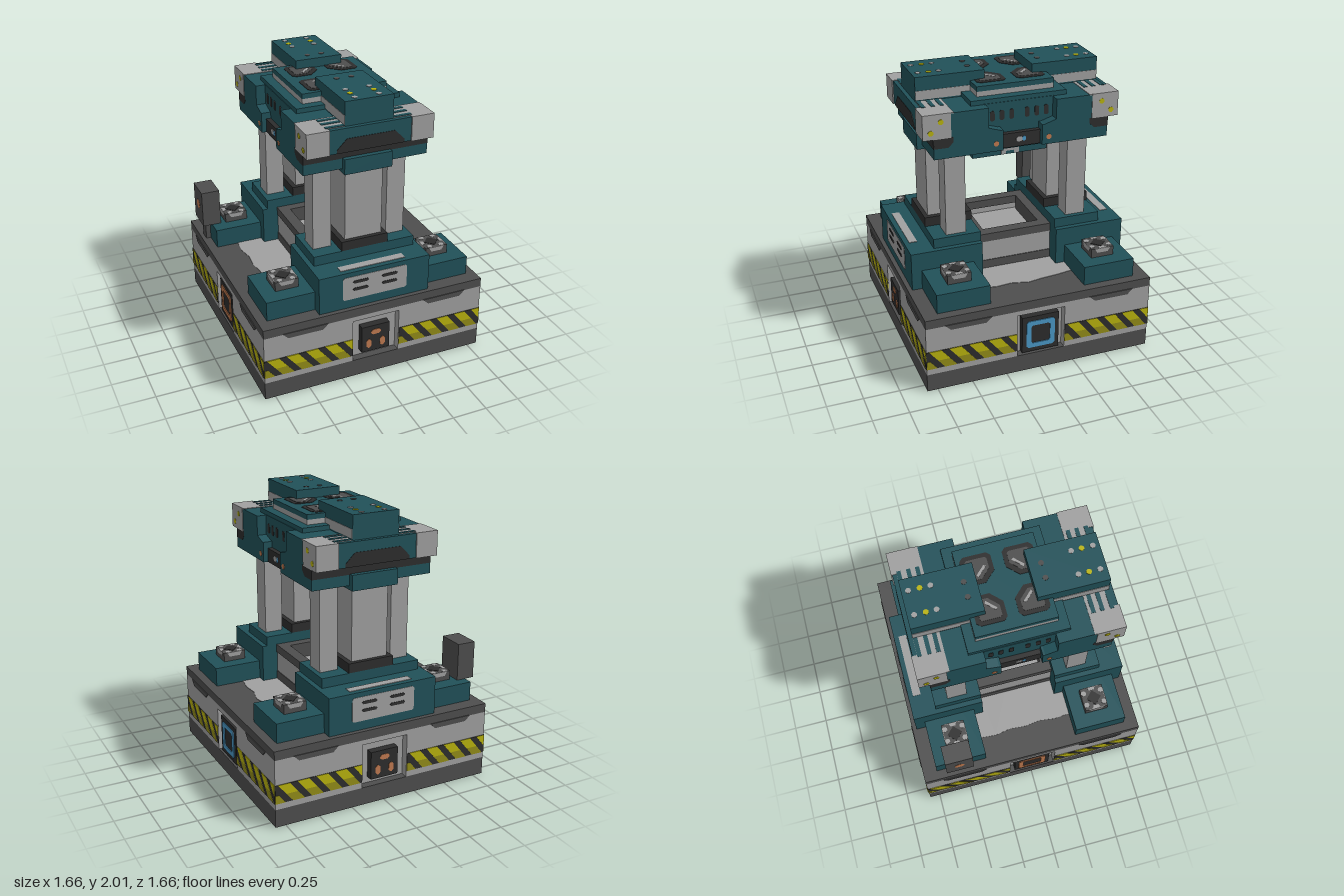
import * as THREE from 'three';

const mat = (name, color) => Object.assign(new THREE.MeshStandardMaterial({ color }), { name });
const teal = mat('teal paint', 0x215159), dark = mat('black rubber', 0x2d2d2d), grey = mat('dark grey', 0x4e4e4e),
  light = mat('light grey', 0xa0a0a0), yellow = mat('yellow', 0xb9b30e), olive = mat('olive yellow', 0x928c18),
  orange = mat('orange', 0xc07a50), blue = mat('blue', 0x4a98c6);

// Box from its limits on each axis
function box(parent, name, m, x0, x1, y0, y1, z0, z1) {
  const g = new THREE.BoxGeometry(Math.abs(x1 - x0), Math.abs(y1 - y0), Math.abs(z1 - z0));
  const mesh = new THREE.Mesh(g, m);
  mesh.position.set((x0 + x1) / 2, (y0 + y1) / 2, (z0 + z1) / 2);
  mesh.name = name;
  parent.add(mesh);
}

// Thin plate facing local +z, with optional hole outline
function plate(parent, name, m, pts, z, hole, depth = 0.006) {
  const s = new THREE.Shape(pts.map(p => new THREE.Vector2(...p)));
  if (hole) s.holes.push(new THREE.Path(hole.map(p => new THREE.Vector2(...p))));
  const mesh = new THREE.Mesh(new THREE.ExtrudeGeometry(s, { depth, bevelEnabled: false }), m);
  mesh.position.z = z;
  mesh.name = name;
  parent.add(mesh);
}
// Rectangle with corners cut by c
const rect = (x0, x1, y0, y1, c = 0) => c
  ? [[x0 + c, y0], [x1 - c, y0], [x1, y0 + c], [x1, y1 - c], [x1 - c, y1], [x0 + c, y1], [x0, y1 - c], [x0, y0 + c]]
  : [[x0, y0], [x1, y0], [x1, y1], [x0, y1]];
const dot = (p, name, m, x, y, z, r = 0.018) => plate(p, name, m, rect(x - r, x + r, y - r, y + r, r * 0.6), z);

function sub(parent, name, rx = 0, ry = 0) {
  const g = new THREE.Group();
  g.name = name;
  g.rotation.set(rx, ry, 0);
  parent.add(g);
  return g;
}
const SIGNS = [-1, 1];

function hazardStripes(p, a, b, z) {
  plate(p, 'hazardBacking', dark, rect(a, b, 0.175, 0.31), z, null, 0.004);
  const clamp = x => Math.min(b, Math.max(a, x));
  const bands = [[0.235, 0.31, yellow], [0.175, 0.235, olive]];
  for (let x = a - 0.12; x < b; x += 0.14) for (const [y0, y1, m] of bands) {
    const at = y => x + (0.31 - y) * 0.8;
    const l0 = clamp(at(y0)), r0 = clamp(at(y0) + 0.085), l1 = clamp(at(y1)), r1 = clamp(at(y1) + 0.085);
    if (r0 - l0 > 0.005 && r1 - l1 > 0.005) plate(p, 'hazardStripe', m, [[l0, y0], [r0, y0], [r1, y1], [l1, y1]], z);
  }
}

function buildBase(root) {
  const base = sub(root, 'base'), W = 0.825;
  box(base, 'baseSkirt', grey, -W, W, 0, 0.13, -W, W);
  box(base, 'baseCore', light, -0.77, 0.77, 0.13, 0.49, -0.77, 0.77);
  box(base, 'baseDeck', grey, -W, W, 0.49, 0.555, -W, W);
  for (const sx of SIGNS) for (const sz of SIGNS)
    box(base, 'cornerBlock', light, sx * 0.175, sx * W, 0.13, 0.49, sz * 0.175, sz * W);
  plate(sub(base, 'underside', Math.PI / 2), 'bottomPanel', light, rect(-0.51, 0.51, -0.51, 0.51, 0.03), -0.002, null, 0.004);
  // Four walls: front, left, back, right
  for (let k = 0; k < 4; k++) {
    const w = sub(base, 'wall', 0, k * Math.PI / 2);
    box(w, 'pocketLintel', light, -0.175, 0.175, 0.455, 0.49, 0.77, W);
    for (const s of SIGNS) {
      const q = [[0.69, 0.495], [0.36, 0.495], [0.4, 0.457], [0.65, 0.457]].map(([x, y]) => [s * x, y]);
      plate(w, 'deckNotch', grey, q, W);
    }
    hazardStripes(w, -W, -0.177, W);
    hazardStripes(w, 0.177, W, W);
    if (k % 2 === 0) {
      box(w, 'connector', dark, -0.105, 0.105, 0.175, 0.38, 0.77, 0.822);
      plate(w, 'connectorPort', orange, rect(-0.037, 0.037, 0.31, 0.348, 0.014), 0.82);
      for (const s of SIGNS)
        plate(w, 'connectorPort', orange, rect(s * 0.052 - 0.019, s * 0.052 + 0.019, 0.205, 0.275, 0.014), 0.82);
    } else {
      box(w, 'lampPanel', dark, -0.135, 0.135, 0.14, 0.42, 0.77, 0.815);
      plate(w, 'lampRing', k === 1 ? blue : orange, rect(-0.105, 0.105, 0.173, 0.385, 0.015), 0.815,
        rect(-0.07, 0.07, 0.208, 0.35, 0.012));
    }
  }
  // Worn light floor between the pedestals
  const R = [0.55, 0.57, 0.56, 0.59, 0.57, 0.56, 0.54], L = [0.6, 0.61, 0.59, 0.6, 0.585, 0.6, 0.59];
  const pts = [...R.map((x, i) => [x, -0.345 + i * 0.115]), ...L.map((x, i) => [-x, 0.345 - i * 0.115])];
  plate(sub(base, 'floor', -Math.PI / 2), 'wornFloor', light, pts, 0.552);
  // Open trough in the middle
  box(base, 'troughFloor', light, -0.24, 0.24, 0.555, 0.72, -0.28, 0.28);
  for (const s of SIGNS) {
    box(base, 'troughFoot', grey, s * 0.24, s * 0.3, 0.555, 0.62, -0.28, 0.28);
    box(base, 'troughWall', light, s * 0.24, s * 0.295, 0.62, 0.77, -0.28, 0.28);
    box(base, 'troughRim', grey, s * 0.22, s * 0.3, 0.77, 0.83, -0.28, 0.28);
    box(base, 'troughEnd', grey, -0.22, 0.22, 0.72, 0.83, s * 0.21, s * 0.28);
  }
}

function buildBolt(parent, x, z) {
  const b = sub(parent, 'bolt');
  b.position.set(x, 0.695, z);
  box(b, 'boltBlock', grey, -0.084, 0.084, 0, 0.067, -0.084, 0.084);
  for (let k = 0; k < 4; k++) {
    const f = sub(b, 'boltSide', 0, k * Math.PI / 2);
    plate(f, 'boltMark', light, [[-0.04, 0.035], [0.04, 0.035], [0.06, 0.067], [-0.06, 0.067]], 0.08);
  }
  const top = sub(b, 'boltTop', -Math.PI / 2);
  plate(top, 'boltSocket', dark, [[0, -0.055], [0.055, 0], [0, 0.055], [-0.055, 0]], 0.064);
  for (const s of SIGNS) {
    plate(top, 'boltTab', light, [[s * 0.084, -0.03], [s * 0.084, 0.03], [s * 0.058, 0.018], [s * 0.058, -0.018]], 0.063);
    for (const t of SIGNS)
      plate(top, 'boltTab', light, rect(s * 0.045 - 0.018, s * 0.045 + 0.018, t * 0.065 - 0.018, t * 0.065 + 0.018, 0.01), 0.063);
  }
}

function buildPedestal(root, k) {
  const p = sub(root, 'pedestal', 0, k * Math.PI);
  box(p, 'pedestalBlock', teal, -0.412, 0.412, 0.555, 0.83, 0.278, 0.793);
  box(p, 'pedestalWings', teal, -0.76, 0.76, 0.555, 0.695, 0.345, 0.722);
  box(p, 'pedestalStep', teal, -0.376, 0.376, 0.83, 0.9, 0.278, 0.62);
  box(p, 'columnCollar', dark, -0.172, 0.172, 0.9, 0.968, 0.278, 0.62);
  box(p, 'mainColumn', light, -0.137, 0.137, 0.968, 1.53, 0.31, 0.59);
  plate(p, 'ventPanel', light, rect(-0.24, 0.24, 0.62, 0.796, 0.012), 0.79);
  box(p, 'topStrip', light, -0.24, 0.24, 0.828, 0.834, 0.7, 0.757);
  for (const s of SIGNS) {
    box(p, 'sideColumn', light, s * 0.207, s * 0.342, 0.9, 1.53, 0.375, 0.52);
    for (const y of [0.695, 0.752])
      plate(p, 'ventSlot', dark, rect(s * 0.108 - 0.058, s * 0.108 + 0.058, y - 0.011, y + 0.011, 0.009), 0.793);
    buildBolt(p, s * 0.571, 0.528);
  }
}

function buildHead(root) {
  const h = sub(root, 'head');
  box(h, 'headCentre', teal, -0.38, 0.38, 1.5, 1.835, -0.25, 0.25);
  box(h, 'hub', teal, -0.207, 0.207, 1.38, 1.52, -0.275, 0.275);
  box(h, 'bellyPlate', teal, -0.172, 0.172, 1.49, 1.6, -0.658, 0.658);
  box(h, 'lowerDeck', teal, -0.376, 0.376, 1.83, 1.865, -0.34, 0.34);
  box(h, 'deckTrim', light, -0.308, 0.308, 1.865, 1.9, -0.275, 0.275);
  box(h, 'upperDeck', teal, -0.308, 0.308, 1.9, 1.935, -0.275, 0.275);

  for (let k = 0; k < 2; k++) { // front and back halves
    const e = sub(h, 'headEnd', 0, k * Math.PI);
    box(e, 'lowerArm', teal, -0.448, 0.448, 1.52, 1.665, 0.14, 0.62);
    box(e, 'upperArm', teal, -0.448, 0.448, 1.665, 1.832, 0.24, 0.66);
    box(e, 'brow', teal, -0.31, 0.31, 1.665, 1.832, 0.66, 0.685);
    box(e, 'cap', teal, -0.172, 0.172, 1.83, 2, 0.172, 0.656);
    plate(e, 'darkBand', dark, rect(-0.449, 0.449, 1.595, 1.665), 0.617);
    plate(e, 'browPanel', dark, [[-0.24, 1.665], [0.24, 1.665], [0.24, 1.69], [0.17, 1.76], [-0.17, 1.76], [-0.24, 1.69]], 0.682);
    const top = sub(e, 'headTop', -Math.PI / 2);
    for (const s of SIGNS) {
      box(e, 'capTrim', light, s * 0.168, s * 0.175, 1.842, 1.905, 0.172, 0.655);
      box(e, 'cornerGuard', light, s * 0.29, s * 0.452, 1.663, 1.836, 0.5, 0.693);
      box(e, 'guardTop', light, s * 0.172, s * 0.45, 1.828, 1.836, 0.48, 0.655);
      for (const z of [0.515, 0.575, 0.64]) // painted fingers across the guard
        box(e, 'guardFinger', teal, s * 0.172, s * 0.305, 1.832, 1.839, z - 0.014, z + 0.014);
      const dots = [[0.085, 0.61, light], [0.085, 0.535, yellow], [0.085, 0.465, light], [0.053, 0.255, grey]];
      for (const [x, z, m] of dots) dot(top, 'capStud', m, s * x, -z, 1.997);
      // Vent with its cut corner towards the middle
      const vent = (a, b, c, d) => [[a + d, b], [b - d, b], [b, b - d], [b, a + d], [b - d, a], [a + c, a], [a, a + c], [a, b - d], [a + d, b]]
        .slice(1).map(([x, y]) => [s * x, -y]);
      plate(top, 'ventRim', dark, vent(0.038, 0.245, 0.075, 0.025), 1.932);
      plate(top, 'ventWell', grey, vent(0.068, 0.215, 0.065, 0.012), 1.934);
      plate(top, 'ventGlint', light, [[0.085, 0.15], [0.15, 0.085], [0.16, 0.1], [0.1, 0.16]].map(([x, y]) => [s * x, -y]), 1.936);
    }
  }

  for (const k of SIGNS) { // left and right sides
    const w = sub(h, 'headSide', 0, k * Math.PI / 2);
    box(w, 'sidePod', dark, -0.138, 0.138, 1.52, 1.62, 0.37, 0.415);
    plate(w, 'podLamp', light, rect(-0.035, 0.01, 1.555, 1.59, 0.01), 0.412);
    plate(w, 'podLamp', blue, rect(0.01, 0.035, 1.555, 1.59, 0.008), 0.412);
    plate(w, 'hubMark', light, [[-0.065, 1.382], [-0.03, 1.382], [-0.03, 1.405], [0.03, 1.405], [0.03, 1.382], [0.065, 1.382],
      [0.065, 1.48], [0.035, 1.48], [0.02, 1.45], [-0.02, 1.45], [-0.035, 1.48], [-0.065, 1.48]], 0.204);
    for (const s of SIGNS) {
      for (const x of [0.055, 0.125, 0.192])
        plate(w, 'sideSlot', dark, rect(s * x - 0.016, s * x + 0.016, 1.71, 1.78, 0.008), 0.377);
      // Slanted lower corner of the side recess
      plate(w, 'recessCorner', teal, [[s * 0.14, 1.62], [s * 0.25, 1.62], [s * 0.25, 1.695], [s * 0.14, 1.66]], 0.37, null, 0.078);
      dot(w, 'sideLamp', orange, s * 0.188, 1.574, 0.445);
      dot(w, 'hubLamp', yellow, s * 0.225, 1.468, 0.204);
      dot(w, 'guardLamp', yellow, s * 0.57, 1.78, 0.449);
      dot(w, 'guardLamp', yellow, s * 0.64, 1.71, 0.449);
      plate(w, 'bandReturn', dark, [[s * 0.62, 1.595], [s * 0.52, 1.595], [s * 0.485, 1.63], [s * 0.485, 1.665], [s * 0.62, 1.665]], 0.444);
    }
  }
}

export function createModel() {
  const root = new THREE.Group();
  root.name = 'industrialPress';
  buildBase(root);
  for (let k = 0; k < 2; k++) buildPedestal(root, k);
  buildHead(root);
  // Control box on its stem
  const c = sub(root, 'controlBox');
  box(c, 'controlStem', grey, -0.795, -0.735, 0.555, 0.7, -0.59, -0.51);
  box(c, 'controlCase', grey, -0.828, -0.692, 0.695, 0.968, -0.653, -0.452);
  dot(sub(c, 'controlFace', 0, -Math.PI / 2), 'controlButton', orange, -0.552, 0.84, 0.824, 0.035);
  return root;
}
